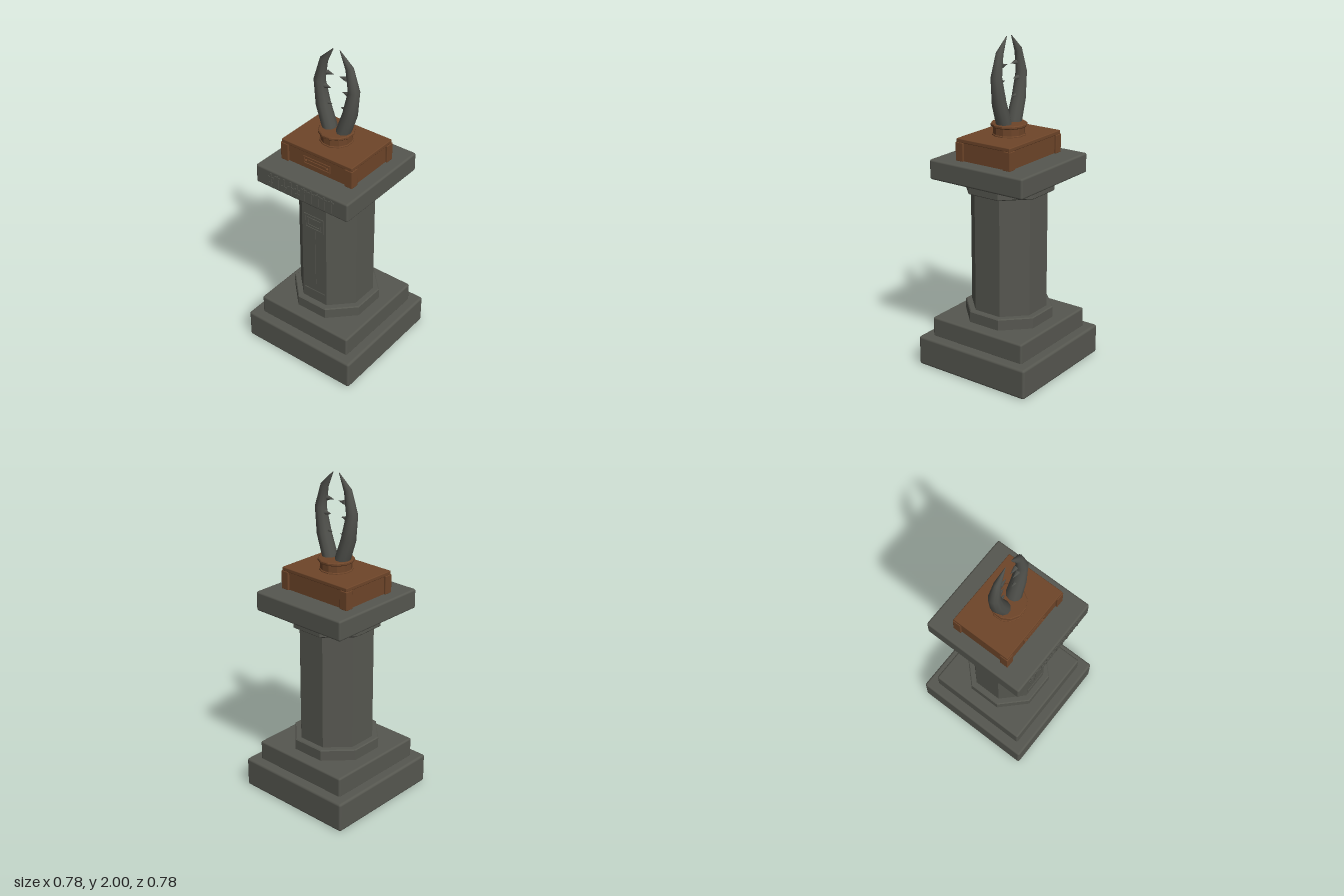
import * as THREE from 'three';
import { RoundedBoxGeometry } from 'three/addons/geometries/RoundedBoxGeometry.js';

const stone = new THREE.MeshStandardMaterial({ color: 0x565750, name: 'stone' });
const wood = new THREE.MeshStandardMaterial({ color: 0x6e4529, name: 'wood' });
const chitin = new THREE.MeshStandardMaterial({ color: 0x50514c, name: 'chitin' });

function add(parent, name, geometry, material, x = 0, y = 0, z = 0) {
  const mesh = new THREE.Mesh(geometry, material);
  mesh.name = name;
  mesh.position.set(x, y, z);
  parent.add(mesh);
  return mesh;
}

// Box with softened edges, given by width, depth and its bottom and top
function slab(parent, name, w, d, y0, y1, material, bevel = 0.012, x = 0, z = 0) {
  return add(parent, name, new RoundedBoxGeometry(w, y1 - y0, d, 2, bevel), material, x, (y0 + y1) / 2, z);
}

// Flat-sided prism, apothem given, one side facing the front, with chamfered rims
function prism(parent, name, sides, apothem, y0, y1, material, bevel = 0) {
  const k = 1 / Math.cos(Math.PI / sides);
  const r = apothem * k;
  const pts = [[0, y0], [r - bevel, y0], [r, y0 + bevel], [r, y1 - bevel], [r - bevel, y1], [0, y1]];
  const profile = pts.filter((p, i) => bevel > 0 || (i !== 1 && i !== 4)).map(p => new THREE.Vector2(...p));
  const geo = new THREE.LatheGeometry(profile, sides, Math.PI / sides).toNonIndexed();
  geo.computeVertexNormals();
  return add(parent, name, geo, material);
}

// Thin raised bar on a front face, given by its rectangle
function bar(parent, name, x0, x1, y0, y1, z, material, depth = 0.008) {
  return add(parent, name, new THREE.BoxGeometry(x1 - x0, y1 - y0, depth), material, (x0 + x1) / 2, (y0 + y1) / 2, z);
}

// Thin raised rectangular outline
function frame(parent, name, hw, y0, y1, t, z, material) {
  const g = new THREE.Group();
  g.name = name;
  parent.add(g);
  bar(g, 'frameBottom', -hw, hw, y0, y0 + t, z, material);
  bar(g, 'frameTop', -hw, hw, y1 - t, y1, z, material);
  for (const s of [-1, 1]) {
    const x = s * (hw - t / 2);
    bar(g, 'frameSide', x - t / 2, x + t / 2, y0 + t, y1 - t, z, material);
  }
}

// Tapered curved horn swept along a path in the x-y plane
function pincerGeometry(s) {
  // x, y, half thickness, half depth
  const rings = [
    [0.045, 1.46, 0.04, 0.046], [0.052, 1.51, 0.044, 0.048], [0.094, 1.63, 0.044, 0.043],
    [0.119, 1.78, 0.034, 0.034], [0.088, 1.91, 0.026, 0.02], [0.022, 2.0, 0.002, 0.002],
  ];
  const n = 10, pos = [], idx = [];
  rings.forEach(([x, y, a, b], i) => {
    const p = rings[Math.max(i - 1, 0)], q = rings[Math.min(i + 1, rings.length - 1)];
    const t = new THREE.Vector2(s * (q[0] - p[0]), q[1] - p[1]).normalize();
    for (let j = 0; j < n; j++) {
      const u = (j / n) * Math.PI * 2;
      pos.push(s * x - t.y * a * Math.cos(u), y + t.x * a * Math.cos(u), b * Math.sin(u));
      if (i < rings.length - 1) {
        const A = i * n + j, B = i * n + (j + 1) % n;
        idx.push(A, B, B + n, A, B + n, A + n);
      }
    }
  });
  const geo = new THREE.BufferGeometry();
  geo.setAttribute('position', new THREE.Float32BufferAttribute(pos, 3));
  geo.setIndex(idx);
  geo.computeVertexNormals();
  return geo;
}

export function createModel() {
  const model = new THREE.Group();
  model.name = 'pincerPedestal';

  // Stone pedestal
  slab(model, 'basePlinth', 0.78, 0.78, 0.005, 0.19, stone, 0.015);
  slab(model, 'upperPlinth', 0.655, 0.655, 0.18, 0.31, stone);
  prism(model, 'lowerCollar', 8, 0.25, 0.3, 0.38, stone, 0.006);
  prism(model, 'shaft', 8, 0.214, 0.37, 1.12, stone);
  prism(model, 'upperCollar', 8, 0.25, 1.11, 1.185, stone, 0.006);
  slab(model, 'capital', 0.655, 0.655, 1.18, 1.3, stone);

  // Raised emblem on the front of the shaft
  const emblem = new THREE.Group();
  emblem.name = 'shaftEmblem';
  model.add(emblem);
  const zs = 0.214;
  frame(emblem, 'outerFrame', 0.07, 0.91, 1.01, 0.012, zs, stone);
  frame(emblem, 'innerFrame', 0.05, 0.93, 0.99, 0.01, zs, stone);
  bar(emblem, 'stem', -0.011, 0.011, 0.51, 0.91, zs, stone);
  bar(emblem, 'lowerBar', -0.075, 0.075, 0.435, 0.455, zs, stone);
  bar(emblem, 'upperBar', -0.075, 0.075, 1.08, 1.095, zs, stone);

  // Row of carved marks across the front of the capital
  const marks = new THREE.Group();
  marks.name = 'capitalMarks';
  model.add(marks);
  const crossHeights = [1.255, 1.27, 1.23, 1.245, 1.25, 1.27, 1.265, 1.27, 1.265, 1.27];
  crossHeights.forEach((y, i) => {
    const x = -0.215 + i * 0.048;
    bar(marks, 'markStroke', x - 0.005, x + 0.005, 1.2, 1.283, 0.3275, stone);
    bar(marks, 'markCross', x - 0.02, x + 0.02, y - 0.005, y + 0.005, 0.3275, stone);
    if (i % 2 === 0 && i < 5) bar(marks, 'markFoot', x - 0.014, x + 0.014, 1.216, 1.225, 0.3275, stone);
  });

  // Wooden box with corner posts and lid
  slab(model, 'boxBody', 0.485, 0.36, 1.295, 1.415, wood, 0.004);
  slab(model, 'boxLid', 0.5, 0.376, 1.408, 1.432, wood, 0.005);
  for (const sx of [-1, 1]) for (const sz of [-1, 1]) {
    slab(model, 'cornerPost', 0.053, 0.053, 1.298, 1.41, wood, 0.004, sx * 0.2275, sz * 0.1655);
  }

  // Front plate with two rivets
  frame(model, 'plateFrame', 0.095, 1.328, 1.378, 0.008, 0.182, wood);
  bar(model, 'plateSlot', -0.065, 0.065, 1.347, 1.36, 0.182, wood);
  for (const s of [-1, 1]) {
    add(model, 'rivet', new THREE.SphereGeometry(0.008, 10, 8), wood, s * 0.075, 1.353, 0.185);
  }

  // Twelve-sided cup holding the pincers
  prism(model, 'cup', 12, 0.09, 1.425, 1.49, wood, 0.003);
  prism(model, 'cupFoot', 12, 0.096, 1.428, 1.44, wood, 0.003);
  prism(model, 'cupRim', 12, 0.103, 1.482, 1.502, wood, 0.005);

  // Mirrored pincers with inward teeth
  for (const s of [-1, 1]) {
    add(model, s > 0 ? 'leftPincer' : 'rightPincer', pincerGeometry(s), chitin);
    // y, root x, tip x, root radius
    for (const [y, x0, x1, r] of [[1.65, 0.068, 0.028, 0.014], [1.75, 0.085, 0.037, 0.016], [1.84, 0.066, 0.015, 0.014]]) {
      const tooth = add(model, 'tooth', new THREE.ConeGeometry(r, x0 - x1, 6), chitin, s * (x0 + x1) / 2, y, 0);
      tooth.rotation.z = s * Math.PI / 2;
    }
  }
  return model;
}
